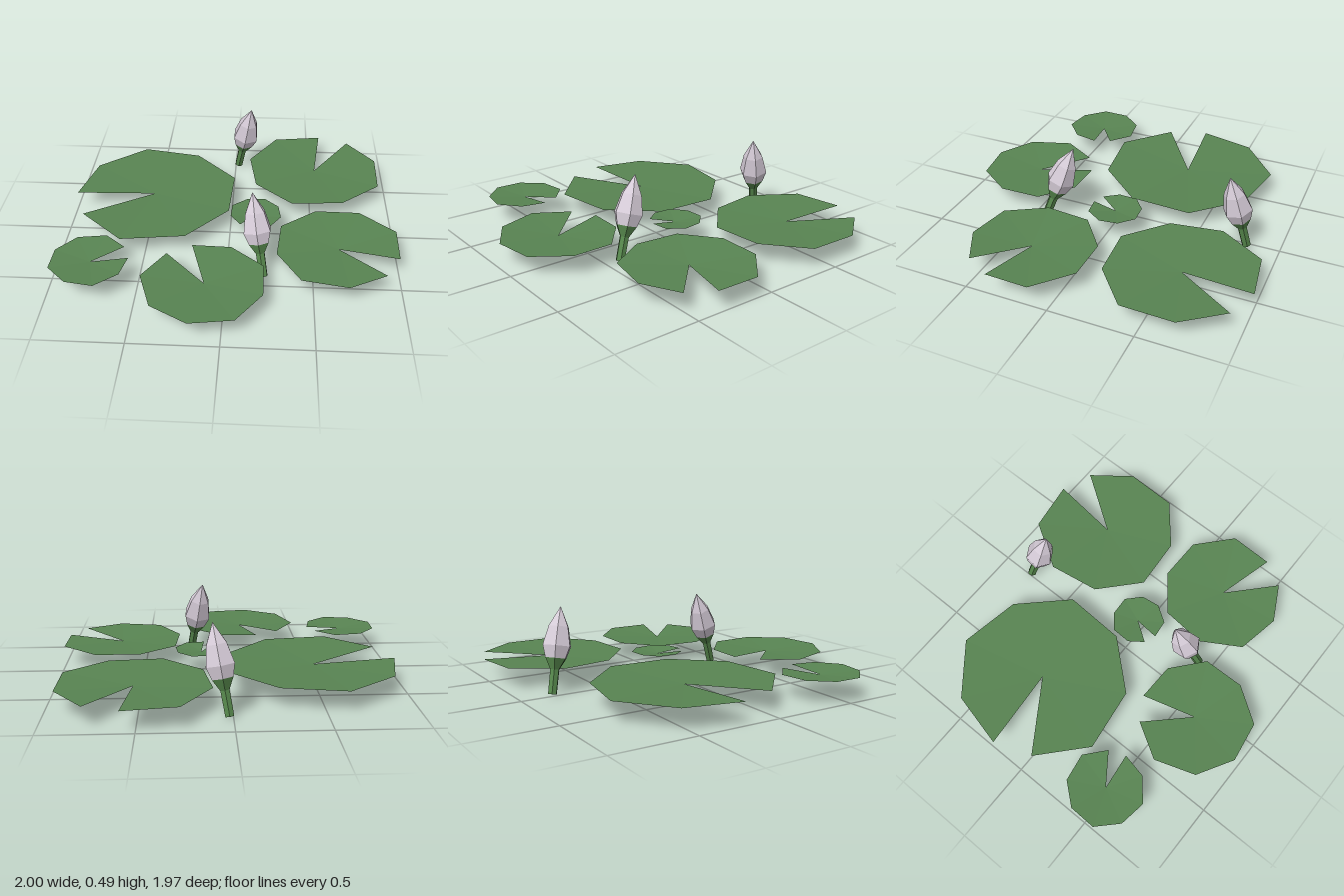
import * as THREE from 'three';

const leafGreen = new THREE.MeshStandardMaterial({ color: 0x588452, flatShading: true, side: THREE.DoubleSide });
leafGreen.name = 'leafGreen';
const petalMauve = new THREE.MeshStandardMaterial({ color: 0xd6ccd8, flatShading: true });
petalMauve.name = 'petalMauve';
const stemGreen = new THREE.MeshStandardMaterial({ color: 0x56874c, flatShading: true });
stemGreen.name = 'stemGreen';

// Notched leaf rim (x, z) around the notch tip at the origin; the notch opens to +x
const RIM = [
  [0.479, 0.122], [0.295, 0.411], [-0.056, 0.532], [-0.38, 0.348], [-0.537, 0.005],
  [-0.396, -0.341], [-0.071, -0.521], [0.307, -0.441], [0.479, -0.122],
];

// Thin, slightly dished fan from the notch tip
function padGeometry() {
  const positions = [0, 0, 0];
  const index = [];
  RIM.forEach(([x, z], i) => {
    positions.push(x, 0.018, z);
    if (i > 0) index.push(0, i + 1, i);
  });
  const g = new THREE.BufferGeometry();
  g.setAttribute('position', new THREE.Float32BufferAttribute(positions, 3));
  g.setIndex(index);
  g.computeVertexNormals();
  return g;
}

const lathe = (points) =>
  new THREE.LatheGeometry(points.map(([r, y]) => new THREE.Vector2(r, y)), 6);

// Closed bud on a short stem, leaning from base to tip
function makeBud(name, base, tip, stemGeo, petalGeo) {
  const bud = new THREE.Group();
  bud.name = name;
  const stem = new THREE.Mesh(stemGeo, stemGreen);
  stem.name = 'stem';
  const petals = new THREE.Mesh(petalGeo, petalMauve);
  petals.name = 'petals';
  bud.add(stem, petals);
  const from = new THREE.Vector3(...base);
  const axis = new THREE.Vector3(...tip).sub(from).normalize();
  bud.position.copy(from);
  bud.quaternion.setFromUnitVectors(new THREE.Vector3(0, 1, 0), axis);
  return bud;
}

export function createModel() {
  const model = new THREE.Group();
  model.name = 'waterLilies';

  // Lily pads: notch tip x, y, z, turn, size
  const geo = padGeometry();
  const pads = [
    ['largePad', -0.497, 0.105, -0.254, -2.805, 1],
    ['backPad', 0.535, 0.104, -0.586, 1.217, 0.843],
    ['frontPad', -0.112, 0.109, 0.623, 2.105, 0.67],
    ['leftPad', 0.652, 0.106, 0.275, -0.519, 0.722],
    ['smallPad', -0.775, 0.117, 0.479, 0.362, 0.442],
    ['tinyPad', 0.155, 0.12, -0.024, -1.944, 0.306],
  ];
  for (const [name, x, y, z, turn, size] of pads) {
    const pad = new THREE.Mesh(geo, leafGreen);
    pad.name = name;
    pad.position.set(x, y, z);
    pad.rotation.y = turn;
    pad.scale.set(size, 1, size);
    model.add(pad);
  }

  // Buds
  const stemGeo = lathe([[0, 0], [0.027, 0], [0.028, 0.14], [0.065, 0.205]]);
  const petalGeo = lathe([[0.065, 0.205], [0.088, 0.275], [0.062, 0.385], [0, 0.5]]);
  model.add(
    makeBud('frontBud', [0.215, 0.01, 0.42], [0.14, 0.475, 0.255], stemGeo, petalGeo),
    makeBud('backBud', [0.02, 0.008, -0.805], [0.105, 0.485, -0.7], stemGeo, petalGeo),
  );
  return model;
}
